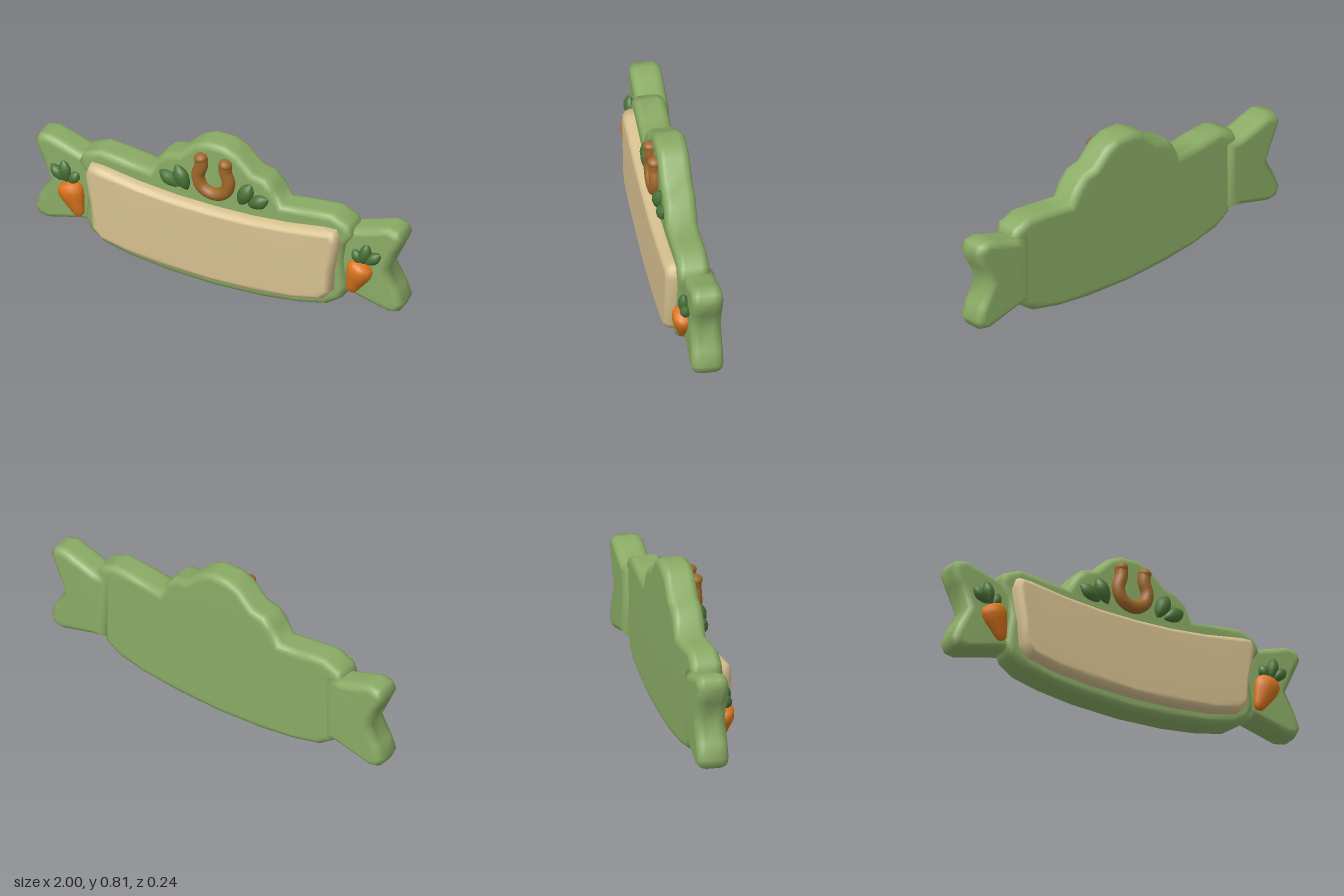
import * as THREE from 'three';
import { mergeVertices } from 'three/addons/utils/BufferGeometryUtils.js';

const paint = (name, color) => {
  const m = new THREE.MeshStandardMaterial({ color });
  m.name = name;
  return m;
};

export function createModel() {
  const group = new THREE.Group();
  const green = paint('sage green', 0x8aab65);
  const cream = paint('cream', 0xd6c08f);
  const orange = paint('carrot orange', 0xdb761c);
  const leafGreen = paint('leaf green', 0x4a7237);
  const brown = paint('horseshoe brown', 0xa0682a);

  const add = (name, geometry, material, x = 0, y = 0, z = 0) => {
    const mesh = new THREE.Mesh(geometry, material);
    mesh.name = name;
    mesh.position.set(x, y, z);
    group.add(mesh);
    return mesh;
  };

  // Right half of an outline, bottom to top, completed by its mirror image
  const mirrored = (half) => [
    ...half,
    ...half.filter(([x]) => x > 0).reverse().map(([x, y]) => [-x, y]),
  ];

  // Pillowy slab between two depths; its rounded rim stays inside the outline
  const slab = (points, back, front, rim, round) => {
    const shape = new THREE.Shape(points.map(([x, y]) => new THREE.Vector2(x, y)));
    let g = new THREE.ExtrudeGeometry(shape, {
      depth: front - back - 2 * round, bevelEnabled: true, bevelThickness: round,
      bevelSize: rim, bevelOffset: -rim, bevelSegments: 4,
    });
    g.translate(0, 0, back + round);
    g.deleteAttribute('normal');
    g.deleteAttribute('uv');
    g = mergeVertices(g, 1e-5);
    g.computeVertexNormals();
    return g;
  };

  // Main board with the crest on top
  add('board', slab(mirrored([
    [0, 0], [0.25, 0.01], [0.45, 0.035], [0.6, 0.07], [0.68, 0.125], [0.71, 0.2],
    [0.69, 0.34], [0.705, 0.44], [0.745, 0.5], [0.72, 0.56], [0.63, 0.598],
    [0.5, 0.585], [0.36, 0.567], [0.32, 0.64], [0.27, 0.69], [0.2, 0.705],
    [0.12, 0.785], [0.05, 0.815],
  ]), -0.092, 0.065, 0.035, 0.04), green);

  // Blank sign face
  add('signPanel', slab(mirrored([
    [0, 0.06], [0.25, 0.068], [0.45, 0.09], [0.6, 0.125], [0.65, 0.18], [0.657, 0.3],
    [0.688, 0.47], [0.665, 0.53], [0.6, 0.527], [0.4, 0.495], [0.2, 0.477], [0, 0.472],
  ]), 0, 0.12, 0.032, 0.05), cream);

  // Horseshoe with flared ends
  const shoePath = new THREE.CatmullRomCurve3([
    [-0.066, 0.735], [-0.066, 0.69], [-0.083, 0.63], [-0.062, 0.572], [0, 0.546],
    [0.062, 0.572], [0.083, 0.63], [0.066, 0.69], [0.066, 0.735],
  ].map(([x, y]) => new THREE.Vector3(x, y, 0.072)));
  add('horseshoe', new THREE.TubeGeometry(shoePath, 32, 0.034, 10), brown);

  const lathe = (points, sides) => new THREE.LatheGeometry(
    new THREE.SplineCurve(points.map(([r, y]) => new THREE.Vector2(r, y))).getPoints(10)
      .map((p) => new THREE.Vector2(Math.max(0, p.x), p.y)), sides);
  const leafShape = lathe([[0, -0.5], [0.3, -0.32], [0.5, 0.02], [0.36, 0.3], [0, 0.5]], 10);
  const carrotShape = lathe([[0, -0.5], [0.18, -0.46], [0.34, -0.15], [0.5, 0.2],
    [0.4, 0.43], [0, 0.5]], 12);

  // Mirrored parts: [x, y, z, width, length, thickness, outward lean]
  const crestLeaves = [
    [0.172, 0.59, 0.072, 0.08, 0.145, 0.07, 0.45],
    [0.24, 0.563, 0.068, 0.078, 0.13, 0.06, 1.05],
  ];
  const carrotLeaves = [
    [0.855, 0.405, 0.05, 0.06, 0.11, 0.06, 0.85],
    [0.815, 0.425, 0.055, 0.062, 0.125, 0.055, 0.2],
    [0.77, 0.395, 0.05, 0.055, 0.09, 0.05, -0.45],
  ];

  for (const s of [1, -1]) {
    const side = s > 0 ? 'left' : 'right';
    const place = (name, geometry, material, [x, y, z, w, l, t, lean]) => {
      const mesh = add(name, geometry, material, s * x, y, z);
      mesh.scale.set(w, l, t);
      mesh.rotation.z = -s * lean;
    };

    // Swallow-tailed ribbon end
    const tail = [
      [0.66, 0.165], [0.73, 0.155], [0.92, 0.105], [0.975, 0.115], [1, 0.165], [0.97, 0.24],
      [0.915, 0.34], [0.965, 0.45], [1, 0.53], [0.975, 0.575], [0.92, 0.585], [0.86, 0.567],
      [0.74, 0.527], [0.66, 0.515],
    ].map(([x, y]) => [s * x, y]);
    if (s < 0) tail.reverse();
    add(side + 'RibbonEnd', slab(tail, -0.118, 0.038, 0.035, 0.045), green);

    place(side + 'HorseshoeEnd', new THREE.SphereGeometry(1, 12, 8), brown,
      [0.067, 0.735, 0.075, 0.034, 0.026, 0.037, 0.2]);
    crestLeaves.forEach((leaf, i) => place(`${side}CrestLeaf${i + 1}`, leafShape, leafGreen, leaf));
    place(side + 'Carrot', carrotShape, orange, [0.768, 0.28, 0.052, 0.135, 0.19, 0.108, 0.36]);
    carrotLeaves.forEach((leaf, i) => place(`${side}CarrotLeaf${i + 1}`, leafShape, leafGreen, leaf));
  }
  return group;
}
